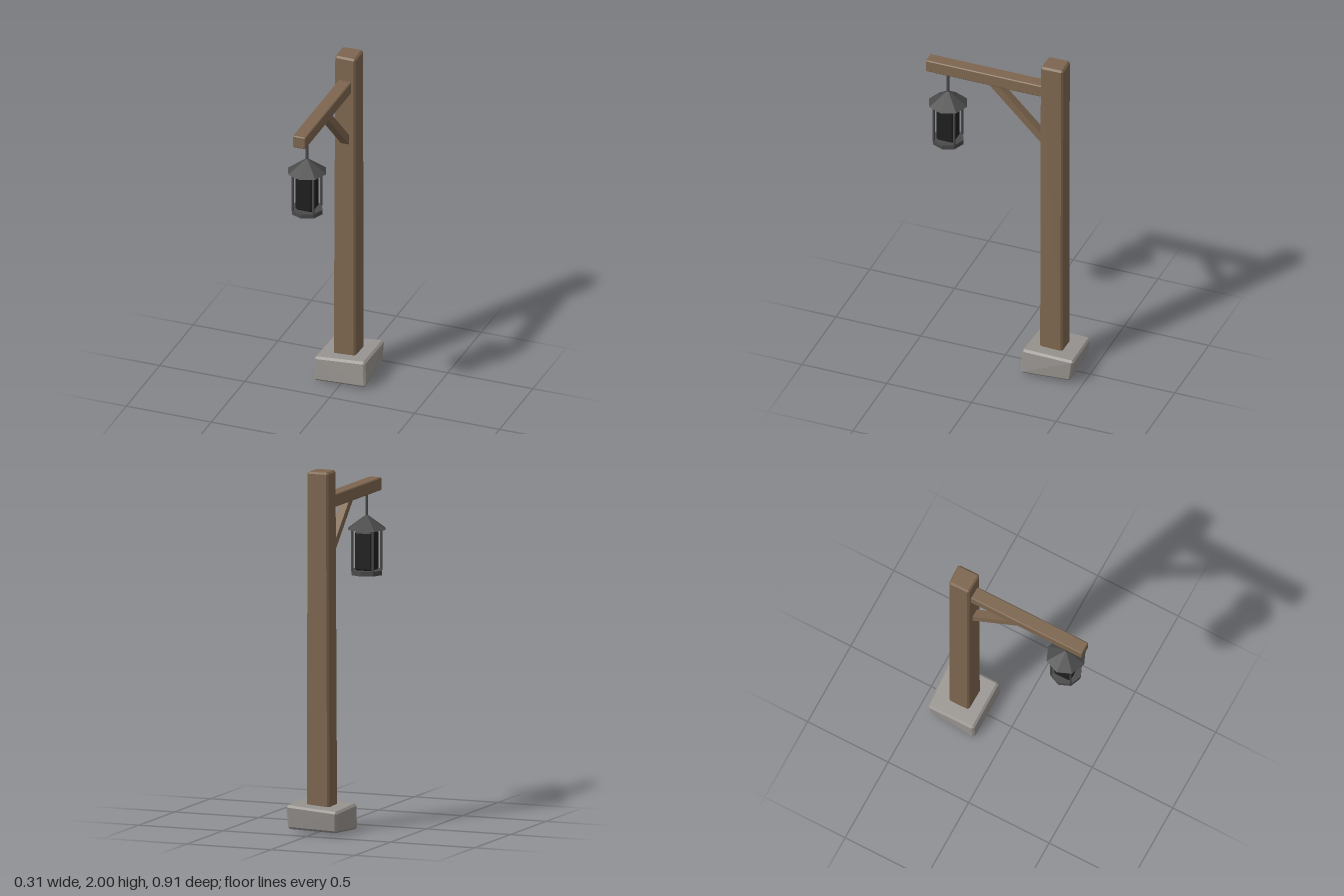
import * as THREE from 'three';
import { ConvexGeometry } from 'three/addons/geometries/ConvexGeometry.js';

function material(name, color) {
  const m = new THREE.MeshStandardMaterial({ color });
  m.name = name;
  return m;
}

// Chamfered block from eight corners, index = x bit + 2 * y bit + 4 * z bit
function block(corners, bevel) {
  const c = corners.map(p => new THREE.Vector3(...p));
  const points = [];
  c.forEach((p, i) => {
    const steps = [1, 2, 4].map(bit => c[i ^ bit].clone().sub(p).setLength(bevel));
    for (let a = 0; a < 3; a++) {
      points.push(p.clone().add(steps[a]).add(steps[(a + 1) % 3]));
    }
  });
  return new ConvexGeometry(points);
}

function boxCorners(x0, x1, y0, y1, z0, z1) {
  return Array.from({ length: 8 }, (_, i) => [i & 1 ? x1 : x0, i & 2 ? y1 : y0, i & 4 ? z1 : z0]);
}

export function createModel() {
  const model = new THREE.Group();
  const wood = material('wood', 0x7d664f);
  const stone = material('stone', 0x989490);
  const metal = material('dark metal', 0x4a4a4a);
  const glass = material('smoked glass', 0x1f1f1f);
  const add = (parent, name, geometry, mat, x = 0, y = 0, z = 0) => {
    const mesh = new THREE.Mesh(geometry, mat);
    mesh.name = name;
    mesh.position.set(x, y, z);
    parent.add(mesh);
    return mesh;
  };

  // Roughly hewn footing stone
  add(model, 'footing', block([
    [-0.145, 0.015, -0.425], [0.14, 0.025, -0.44],
    [-0.155, 0.135, -0.445], [0.145, 0.16, -0.46],
    [-0.155, 0.0, -0.15], [0.155, 0.015, -0.145],
    [-0.155, 0.145, -0.155], [0.145, 0.167, -0.155],
  ], 0.012), stone);

  // Slightly uneven timber post
  add(model, 'post', block([
    [-0.07, 0.1, -0.355], [0.063, 0.1, -0.36],
    [-0.064, 2.0, -0.358], [0.058, 2.0, -0.362],
    [-0.07, 0.1, -0.23], [0.063, 0.1, -0.226],
    [-0.062, 2.0, -0.233], [0.06, 2.0, -0.229],
  ], 0.01), wood);

  add(model, 'beam', block(boxCorners(-0.039, 0.036, 1.785, 1.857, -0.26, 0.457), 0.005), wood);

  // Diagonal brace, drawn in side profile and cut flush with post and beam
  const profile = new THREE.Shape([
    [-0.245, 1.452], [0.095, 1.792], [0.037, 1.792], [-0.245, 1.51],
  ].map(p => new THREE.Vector2(...p)));
  const brace = new THREE.ExtrudeGeometry(profile, { depth: 0.05, bevelEnabled: false });
  brace.translate(0, 0, -0.025).rotateY(-Math.PI / 2);
  add(model, 'brace', brace, wood);

  // Hanging lantern
  const lantern = new THREE.Group();
  lantern.name = 'lantern';
  lantern.position.z = 0.338;
  model.add(lantern);
  const prism = (top, bottom, height, sides) =>
    new THREE.CylinderGeometry(top, bottom, height, sides).toNonIndexed();
  const flat = g => { g.computeVertexNormals(); return g; };
  add(lantern, 'hangingRod', flat(prism(0.008, 0.008, 0.15, 6)), metal, 0, 1.72);
  add(lantern, 'roof', flat(prism(0.006, 0.112, 0.078, 8)), metal, 0, 1.624);
  add(lantern, 'base', flat(prism(0.09, 0.09, 0.026, 8)), metal, 0, 1.346);
  add(lantern, 'glassBody', block(boxCorners(-0.052, 0.052, 1.357, 1.575, -0.052, 0.052), 0.01), glass);
  for (const x of [-1, 1]) for (const z of [-1, 1]) {
    add(lantern, 'cornerBar', flat(prism(0.007, 0.007, 0.24, 6)), metal, x * 0.06, 1.473, z * 0.06);
  }
  return model;
}
